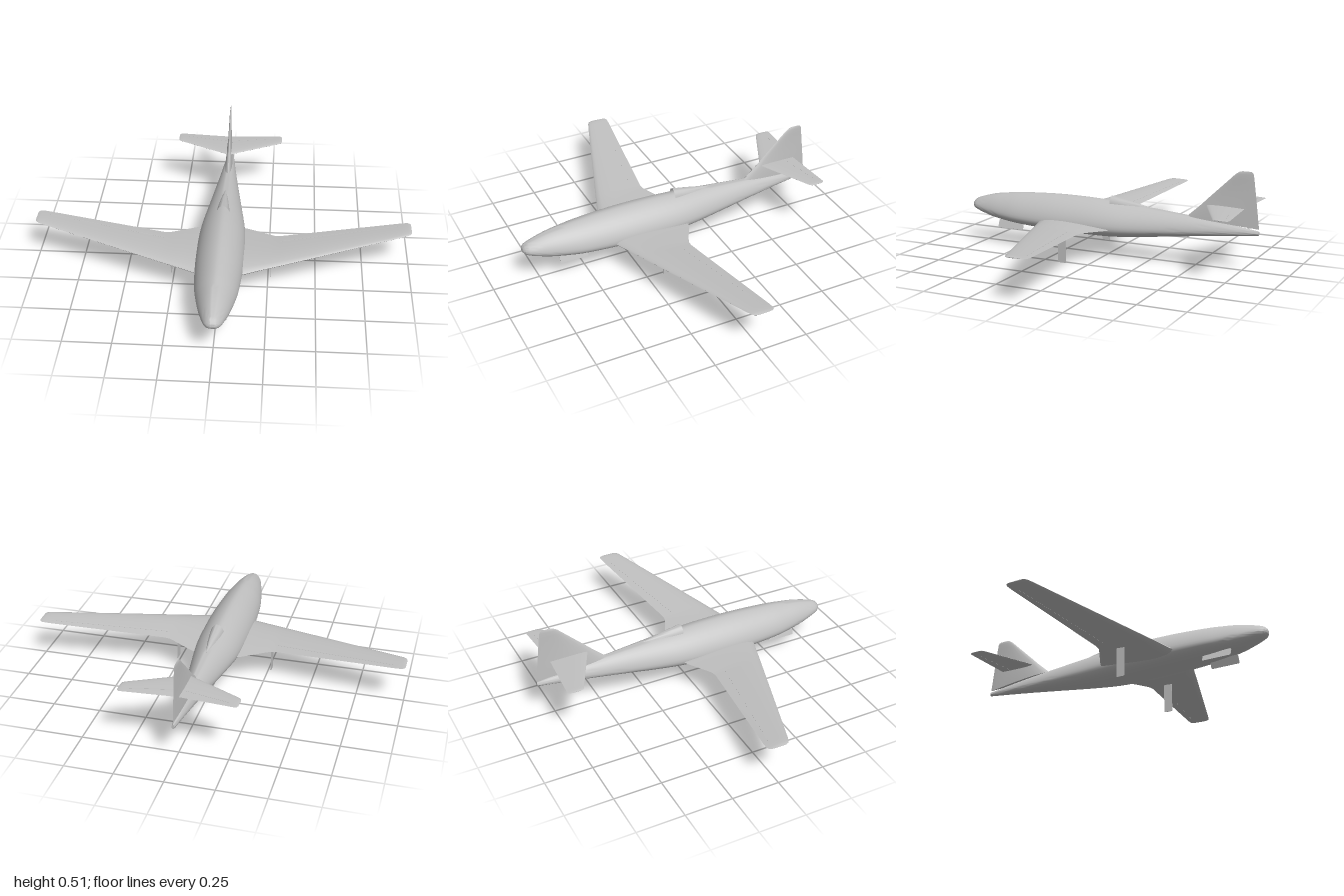
import * as THREE from 'three';
import { toCreasedNormals } from 'three/addons/utils/BufferGeometryUtils.js';

// Skin a list of rings (arrays of [x, y, z]); closed rings get end caps and face outwards
function loft(rings, closed = true, crease = 0.7) {
  const n = rings[0].length, pos = rings.flat(2), idx = [];
  for (let i = 0; i < rings.length - 1; i++) {
    for (let j = 0; j < (closed ? n : n - 1); j++) {
      const a = i * n + j, b = i * n + (j + 1) % n;
      idx.push(a, b, a + n, b, b + n, a + n);
    }
  }
  if (closed) {
    [0, rings.length - 1].forEach((r, end) => {
      const c = pos.length / 3;
      for (let k = 0; k < 3; k++) pos.push(rings[r].reduce((s, p) => s + p[k], 0) / n);
      for (let j = 0; j < n; j++) {
        const a = r * n + j, b = r * n + (j + 1) % n;
        idx.push(c, end ? a : b, end ? b : a);
      }
    });
    const v = (i) => new THREE.Vector3().fromArray(pos, i * 3);
    let volume = 0;
    for (let i = 0; i < idx.length; i += 3) volume += v(idx[i]).dot(v(idx[i + 1]).cross(v(idx[i + 2])));
    if (volume < 0) idx.reverse();
  }
  const g = new THREE.BufferGeometry();
  g.setAttribute('position', new THREE.Float32BufferAttribute(pos, 3));
  g.setIndex(idx);
  return toCreasedNormals(g, crease);
}

// Half thickness of a symmetric airfoil at chord fraction f
const foil = (f) => 1.4845 * Math.sqrt(f) - 0.63 * f - 1.758 * f * f + 1.4215 * f ** 3 - 0.5075 * f ** 4;

// Airfoil surface; each station is { le, te, t }, thickened along axis 0 (x) or 1 (y)
function foilSurface(stations, axis) {
  const N = 10;
  return loft(stations.map(({ le, te, t }) => {
    const ring = [];
    for (let k = 0; k < 2 * N; k++) {
      const f = (1 + Math.cos(Math.PI * k / N)) / 2;
      const p = le.map((a, i) => a + (te[i] - a) * f);
      p[axis] += (k < N ? 1 : -1) * foil(f) * t;
      ring.push(p);
    }
    return ring;
  }));
}

export function createModel() {
  const model = new THREE.Group();
  model.name = 'jetAircraft';
  const grey = new THREE.MeshStandardMaterial({ color: 0xc0c0c0, side: THREE.DoubleSide });
  grey.name = 'light grey';
  const add = (name, geometry) => {
    const mesh = new THREE.Mesh(geometry, grey);
    mesh.name = name;
    model.add(mesh);
    return mesh;
  };

  // Fuselage: z, top, bottom, half width, height of the widest line
  const sections = [
    [0.835, 0.203, 0.197, 0.004, 0.2], [0.828, 0.217, 0.184, 0.024, 0.198], [0.8, 0.236, 0.167, 0.046, 0.193],
    [0.7, 0.265, 0.14, 0.076, 0.182], [0.6, 0.28, 0.126, 0.097, 0.174], [0.5, 0.29, 0.117, 0.112, 0.169],
    [0.3, 0.3, 0.108, 0.125, 0.165], [0.1, 0.299, 0.104, 0.125, 0.164], [-0.05, 0.291, 0.106, 0.116, 0.166],
    [-0.2, 0.28, 0.119, 0.095, 0.17], [-0.4, 0.263, 0.142, 0.065, 0.18], [-0.6, 0.243, 0.165, 0.037, 0.19],
    [-0.835, 0.212, 0.19, 0.008, 0.2],
  ];
  const curve = (b, c) => new THREE.CatmullRomCurve3(
    sections.map((s) => new THREE.Vector3(s[0], s[b], s[c])), false, 'catmullrom', 0.5);
  const heights = curve(1, 2), widths = curve(3, 4);
  const hull = [];
  for (let i = 0; i <= 48; i++) {
    const h = heights.getPoint(i / 48), w = widths.getPoint(i / 48), ring = [];
    for (let j = 0; j < 40; j++) {
      const a = j / 40 * Math.PI * 2, c = Math.cos(a), s = Math.sin(a);
      const e = s > 0 ? 2 / 1.65 : 2 / 2.2; // peaked above, flatter below
      const x = Math.sign(c) * Math.abs(c) ** e * w.y;
      const y = w.z + (s > 0 ? s ** e * (h.y - w.z) : -(Math.abs(s) ** e) * (w.z - h.z));
      ring.push([x, y, h.x]);
    }
    hull.push(ring);
  }
  add('fuselage', loft(hull, true, 0.9));

  // Dorsal air intake, open at the front
  const scoop = [[-0.02, 0.037, 0.32], [-0.08, 0.032, 0.309], [-0.14, 0.024, 0.298],
    [-0.2, 0.014, 0.286], [-0.255, 0.001, 0.274]].map(([z, w, top]) => {
    const arc = [];
    for (let j = 0; j <= 16; j++) {
      const a = Math.PI * j / 16;
      arc.push([w * Math.cos(a), 0.262 + (top - 0.262) * Math.sin(a), z]);
    }
    return arc;
  });
  add('dorsalIntake', loft(scoop, false));

  // Tail fin
  add('tailFin', foilSurface([
    [0.255, -0.45, 0.221, -0.835, 0.038], [0.32, -0.523, 0.32, -0.823, 0.03], [0.36, -0.564, 0.36, -0.818, 0.018],
    [0.47, -0.679, 0.47, -0.804, 0.011], [0.495, -0.705, 0.497, -0.8, 0.009], [0.508, -0.725, 0.508, -0.794, 0.006],
    [0.512, -0.74, 0.512, -0.785, 0.002],
  ].map(([ly, lz, ty, tz, t]) => ({ le: [0, ly, lz], te: [0, ty, tz], t })), 0));

  // x, leading z, trailing z, y, thickness
  const wing = [
    [0.05, 0.386, -0.075, 0.155, 0.052], [0.1, 0.369, -0.062, 0.158, 0.05], [0.14, 0.355, -0.047, 0.16, 0.046],
    [0.2, 0.333, -0.016, 0.165, 0.038], [0.25, 0.316, 0.01, 0.169, 0.033], [0.28, 0.305, 0.024, 0.171, 0.031],
    [0.31, 0.295, 0.027, 0.173, 0.03], [0.95, 0.068, -0.062, 0.221, 0.012], [0.98, 0.056, -0.064, 0.2235, 0.011],
    [0.993, 0.047, -0.059, 0.2245, 0.008], [1, 0.033, -0.045, 0.225, 0.003],
  ];
  const tail = [
    [0, -0.55, -0.757, 0.32, 0.014], [0.02, -0.56, -0.758, 0.32, 0.014], [0.27, -0.682, -0.776, 0.32, 0.008],
    [0.286, -0.69, -0.777, 0.32, 0.007], [0.294, -0.697, -0.771, 0.32, 0.005], [0.298, -0.708, -0.762, 0.32, 0.002],
  ];
  const stations = (list, s) => list.map(([x, l, t, y, d]) => ({ le: [s * x, y, l], te: [s * x, y, t], t: d }));

  // Thin hinge strip between two stations, on the upper or lower skin
  const hinge = (name, a, b, f, s, up) => {
    const at = ([x, l, t, y, d]) => new THREE.Vector3(s * x, y + up * foil(f) * d, l + (t - l) * f);
    const p = at(a), q = at(b);
    const strip = add(name, new THREE.BoxGeometry(0.003, 0.001, p.distanceTo(q)));
    strip.position.copy(p).lerp(q, 0.5);
    strip.lookAt(q);
  };

  // Door panel with rounded corners, lying in the yz plane
  const door = (name, depth, height) => {
    const w = depth / 2, h = height / 2, r = 0.008, shape = new THREE.Shape();
    shape.moveTo(-w + r, -h).lineTo(w - r, -h).quadraticCurveTo(w, -h, w, -h + r);
    shape.lineTo(w, h - r).quadraticCurveTo(w, h, w - r, h);
    shape.lineTo(-w + r, h).quadraticCurveTo(-w, h, -w, h - r);
    shape.lineTo(-w, -h + r).quadraticCurveTo(-w, -h, -w + r, -h);
    const g = new THREE.ExtrudeGeometry(shape, { depth: 0.003, bevelEnabled: false });
    return add(name, g.translate(0, 0, -0.0015).rotateY(Math.PI / 2));
  };

  for (const [side, s] of [['left', 1], ['right', -1]]) {
    add(side + 'Wing', foilSurface(stations(wing, s), 1));
    add(side + 'Tailplane', foilSurface(stations(tail, s), 1));
    for (const up of [1, -1]) {
      hinge(side + 'AileronHinge', wing[6], [0.94, 0.072, -0.061, 0.22, 0.0123], 0.78, s, up);
      hinge(side + 'ElevatorHinge', tail[1], [0.245, -0.67, -0.774, 0.32, 0.0088], 0.71, s, up);
    }
    // Landing gear doors
    door(side + 'MainGearDoor', 0.046, 0.16).position.set(s * 0.265, 0.08, 0.142);
    const nose = door(side + 'NoseGearDoor', 0.155, 0.045);
    nose.position.set(s * 0.05, 0.111, 0.572);
    nose.rotation.z = s * 0.35;
  }
  return model;
}
